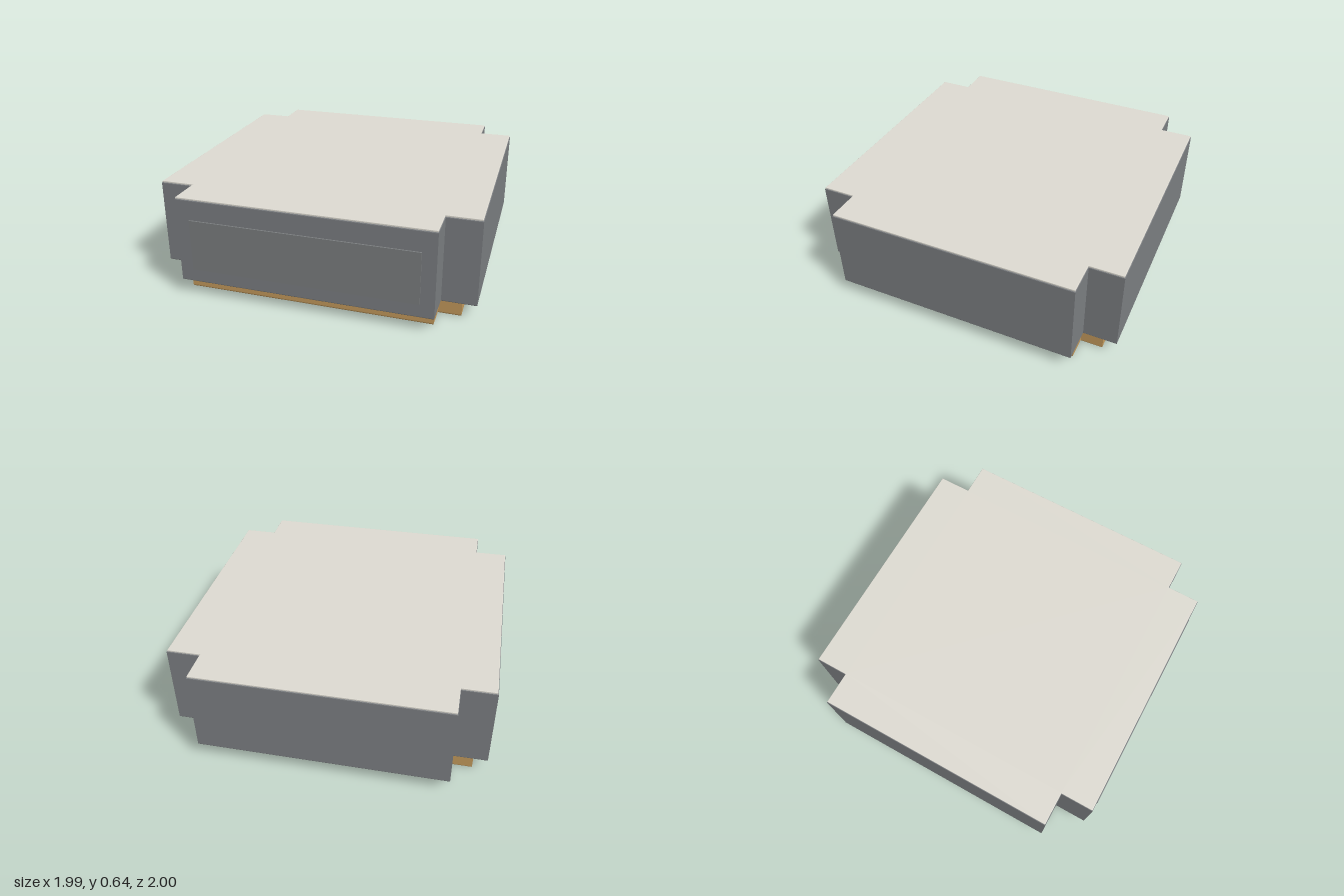
import * as THREE from 'three';

const mat = (color) => new THREE.MeshStandardMaterial({ color });

// Square outline with a square notch cut from every corner
function crossShape(half, arm) {
  const s = new THREE.Shape();
  const quarter = [[half, -arm], [half, arm], [arm, arm]];
  for (let i = 0; i < 4; i++) {
    const c = Math.round(Math.cos(i * Math.PI / 2)), n = Math.round(Math.sin(i * Math.PI / 2));
    quarter.forEach(([x, y], k) => {
      const px = x * c - y * n, py = x * n + y * c;
      if (i === 0 && k === 0) s.moveTo(px, py);
      else if (!(i === 3 && k === 3)) s.lineTo(px, py);
    });
  }
  s.closePath();
  return s;
}

// Upright slab of the notched outline between two heights, with softened edges
function slab(name, half, arm, y0, y1, bevel, color) {
  const geo = new THREE.ExtrudeGeometry(crossShape(half, arm), {
    depth: y1 - y0 - 2 * bevel,
    bevelEnabled: true,
    bevelThickness: bevel,
    bevelSize: bevel,
    bevelOffset: -bevel,
    bevelSegments: 3,
  });
  geo.rotateX(-Math.PI / 2);
  geo.translate(0, y0 + bevel, -0.005);
  const mesh = new THREE.Mesh(geo, mat(color));
  mesh.name = name;
  return mesh;
}

export function createModel() {
  const model = new THREE.Group();
  model.name = 'notchedPlinth';

  // Recessed foot, main block and thin top sheet
  model.add(slab('base', 0.908, 0.77, 0, 0.1, 0.012, 0xc49a5c));
  model.add(slab('body', 0.996, 0.785, 0.093, 0.633, 0.006, 0x7c7f82));
  model.add(slab('topSheet', 0.992, 0.782, 0.626, 0.642, 0.003, 0xdedbd2));

  // Plain panel on the front face
  const plate = new THREE.Mesh(new THREE.BoxGeometry(1.4, 0.325, 0.02), mat(0x7b7e80));
  plate.name = 'frontPlate';
  plate.position.set(0, 0.342, 0.99);
  model.add(plate);

  return model;
}
